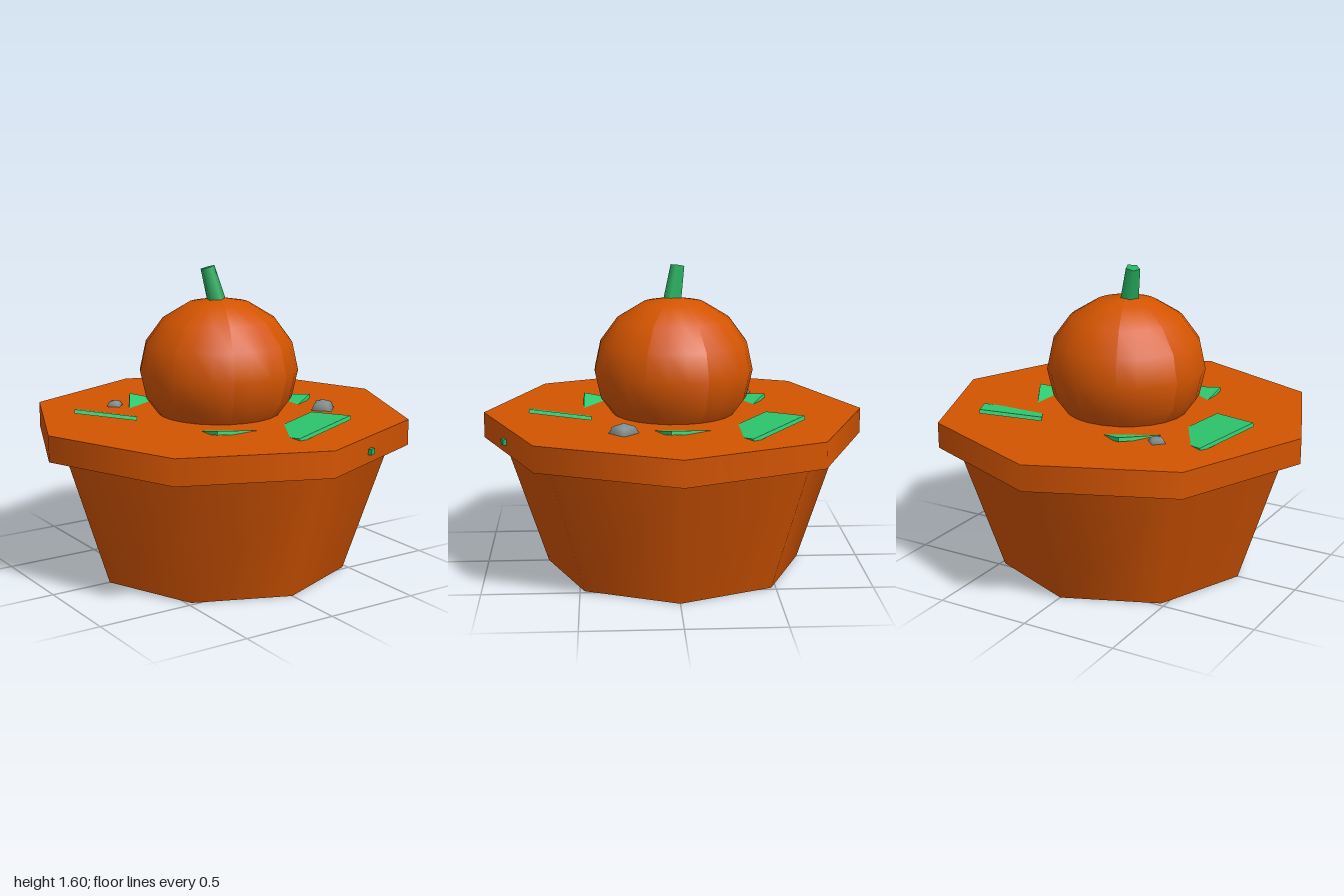
import * as THREE from 'three';

const orange = new THREE.MeshStandardMaterial({ color: 0xd35400 });
const green = new THREE.MeshStandardMaterial({ color: 0x2ecc71 });
const stemGreen = new THREE.MeshStandardMaterial({ color: 0x27ae60 });
const grey = new THREE.MeshStandardMaterial({ color: 0x7f8c8d });

function add(parent, name, geometry, material, x = 0, y = 0, z = 0) {
  const mesh = new THREE.Mesh(geometry, material);
  mesh.name = name;
  mesh.position.set(x, y, z);
  parent.add(mesh);
  return mesh;
}

// One eighth of the pumpkin, facing +z: a sphere wedge pinched along its two seams
function lobeGeometry() {
  const geo = new THREE.SphereGeometry(1, 2, 8, Math.PI * 3 / 8, Math.PI / 4);
  const p = geo.attributes.position;
  for (let i = 0; i < p.count; i++) {
    const onSeam = Math.abs(Math.atan2(p.getX(i), p.getZ(i))) > 0.1;
    const r = onSeam ? 0.417 : 0.505;
    p.setXYZ(i, p.getX(i) * r, p.getY(i) * 0.38, p.getZ(i) * r);
  }
  geo.computeVertexNormals();
  return geo;
}

// Thin slab whose top face is spanned by a corner and its two neighbouring corners
function leafGeometry(corner, next, last, thickness = 0.02) {
  const a = new THREE.Vector3(...corner);
  const u = new THREE.Vector3(...next).sub(a);
  const v = new THREE.Vector3(...last).sub(a);
  const n = new THREE.Vector3().crossVectors(v, u).normalize();
  if (n.y < 0) {
    n.negate();
    u.negate();
    a.sub(u);
  }
  n.multiplyScalar(thickness);
  const geo = new THREE.BoxGeometry(1, 1, 1).translate(0.5, -0.5, 0.5);
  return geo.applyMatrix4(new THREE.Matrix4().makeBasis(u, n, v).setPosition(a));
}

export function createModel() {
  const model = new THREE.Group();
  model.name = 'pumpkinPot';

  // Pot
  add(model, 'potBody', new THREE.CylinderGeometry(0.905, 0.675, 0.7, 8), orange, 0, 0.35, 0);
  add(model, 'potRim', new THREE.CylinderGeometry(1, 1, 0.135, 8), orange, 0, 0.76, 0);

  // Pumpkin
  const pumpkin = new THREE.Group();
  pumpkin.name = 'pumpkin';
  pumpkin.position.y = 1.055;
  model.add(pumpkin);
  const lobe = lobeGeometry();
  for (let i = 0; i < 8; i++) {
    add(pumpkin, 'pumpkinLobe', lobe, orange).rotation.y = i * Math.PI / 4;
  }

  // Leaning stem
  const base = new THREE.Vector3(-0.01, 1.39, 0.005);
  const tip = new THREE.Vector3(-0.053, 1.59, -0.027);
  const lean = tip.clone().sub(base);
  const stem = add(model, 'stem', new THREE.CylinderGeometry(0.039, 0.052, lean.length(), 5), stemGreen);
  stem.position.copy(base).lerp(tip, 0.5);
  stem.quaternion.setFromUnitVectors(new THREE.Vector3(0, 1, 0), lean.normalize());

  // Large and small leaves, repeated three times around the pumpkin
  const largeLeaf = leafGeometry([0.29, 0.91, 0.745], [-0.03, 0.838, 0.757], [0.29, 0.868, 0.43]);
  const smallLeaf = leafGeometry([-0.32, 0.857, 0.475], [-0.01, 0.82, 0.475], [-0.32, 0.797, 0.165]);
  for (let i = 0; i < 3; i++) {
    const turn = i * Math.PI * 2 / 3;
    add(model, 'largeLeaf', largeLeaf, green).rotation.y = turn;
    add(model, 'smallLeaf', smallLeaf, green).rotation.y = turn;
  }

  // Stones half sunk in the top
  for (const [x, z, r] of [[0.485, 0.27, 0.08], [-0.405, -0.405, 0.053]]) {
    add(model, 'stone', new THREE.SphereGeometry(r, 4, 4), grey, x, 0.82, z).scale.y = 0.75;
  }

  // Small stud on the rim
  const stud = add(model, 'rimStud', new THREE.BoxGeometry(0.035, 0.03, 0.035), stemGreen, 0.32, 0.75, 0.868);
  stud.rotation.y = Math.PI / 8;

  return model;
}
